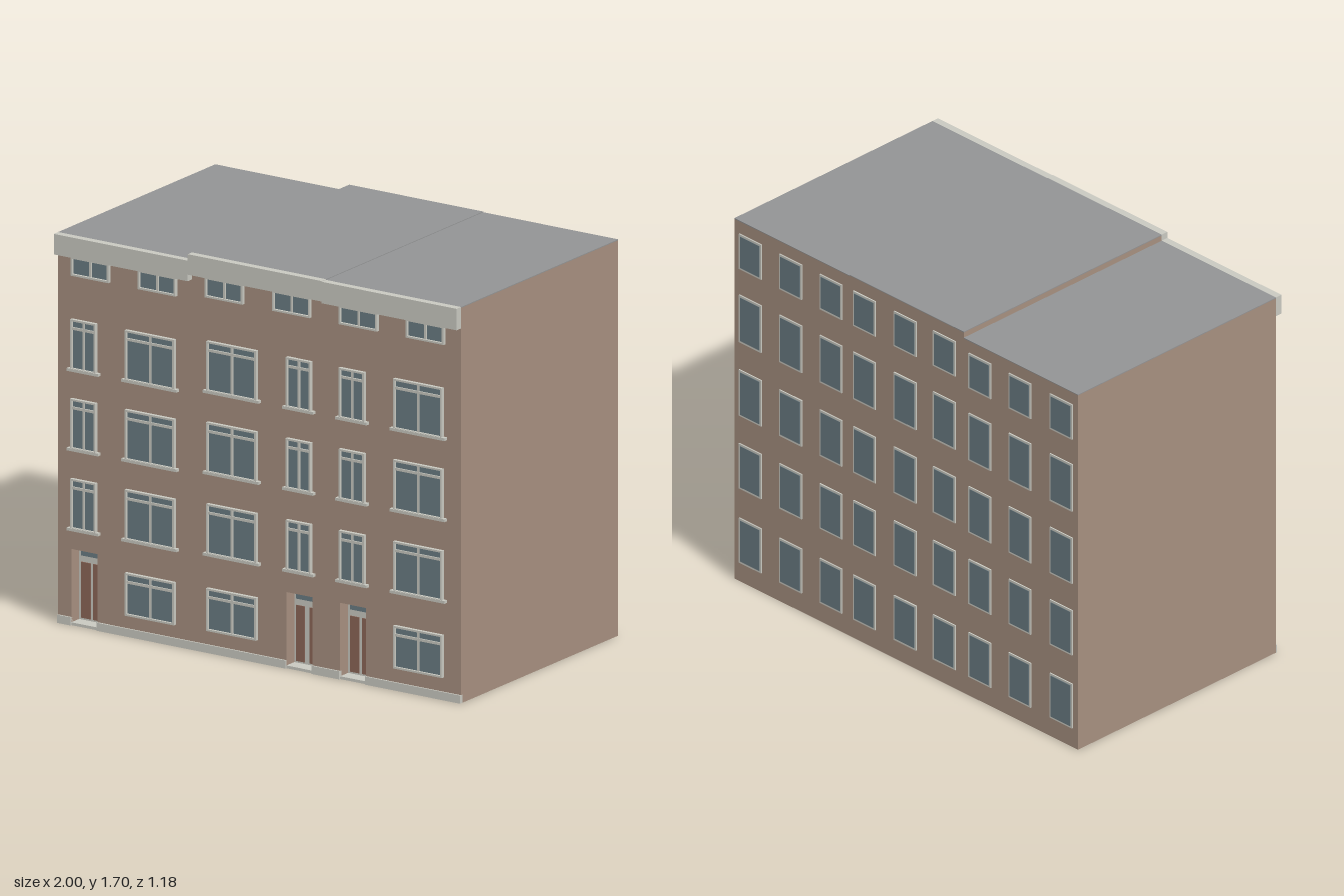
import * as THREE from 'three';

const mat = (name, color) => {
  const m = new THREE.MeshStandardMaterial({ color });
  m.name = name;
  return m;
};

export function createModel() {
  const brick = mat('brick', 0xa68f7f);
  const trim = mat('stone trim', 0xc8c8c0);
  const glass = mat('window glass', 0x6a7b82);
  const wood = mat('door wood', 0x8a6556);
  const roofGrey = mat('roof grey', 0x929394);

  const FRONT = 0.56, BACK = -0.583, RECESS = 0.49;
  const root = new THREE.Group();
  root.name = 'terraceOfHouses';

  // Box given by its two corners
  function box(parent, name, m, x0, x1, y0, y1, z0, z1) {
    const mesh = new THREE.Mesh(new THREE.BoxGeometry(x1 - x0, y1 - y0, z1 - z0), m);
    mesh.position.set((x0 + x1) / 2, (y0 + y1) / 2, (z0 + z1) / 2);
    mesh.name = name;
    parent.add(mesh);
  }

  // Front window: raised frame, glass set back, mullion and optional transom and sill
  function frontWindow(parent, x0, x1, y0, y1, transom, sill) {
    const g = new THREE.Group();
    g.name = 'frontWindow';
    parent.add(g);
    const f = 0.008, z = 0.576, cx = (x0 + x1) / 2;
    box(g, 'pane', glass, x0 + f, x1 - f, y0 + f, y1 - f, FRONT - 0.01, FRONT + 0.006);
    box(g, 'frameSide', trim, x0, x0 + f, y0, y1, FRONT - 0.01, z);
    box(g, 'frameSide', trim, x1 - f, x1, y0, y1, FRONT - 0.01, z);
    box(g, 'frameTop', trim, x0 + f, x1 - f, y1 - f, y1, FRONT - 0.01, z);
    box(g, 'frameBottom', trim, x0 + f, x1 - f, y0, y0 + f, FRONT - 0.01, z);
    box(g, 'mullion', trim, cx - 0.005, cx + 0.005, y0 + f, y1 - f, FRONT, z - 0.005);
    if (transom) box(g, 'transom', trim, x0 + f, x1 - f, y1 - 0.045, y1 - 0.034, FRONT, z - 0.004);
    if (sill) box(g, 'sill', trim, x0 - 0.015, x1 + 0.015, y0 - 0.006, y0 + 0.006, FRONT - 0.01, 0.579);
  }

  // Recessed double door with fanlight and threshold
  function door(parent, x0, x1, post) {
    const g = new THREE.Group();
    g.name = 'frontDoor';
    parent.add(g);
    const cx = (x0 + x1) / 2, z = RECESS + 0.012;
    box(g, 'doorFrame', trim, x0, x1, 0.004, 0.325, RECESS - 0.01, z);
    box(g, 'fanlight', glass, x0 + 0.01, x1 - 0.01, 0.287, 0.318, z, z + 0.003);
    box(g, 'doorLeaf', wood, x0 + 0.012, cx - post / 2, 0.02, 0.26, z, z + 0.004);
    box(g, 'doorLeaf', wood, cx + post / 2, x1 - 0.012, 0.02, 0.26, z, z + 0.004);
    box(g, 'threshold', trim, x0, x1, 0, 0.012, z, FRONT);
  }

  // Back window: pale frame plate with glass on its face
  function backWindow(parent, cx, y0, y1) {
    const g = new THREE.Group();
    g.name = 'backWindow';
    parent.add(g);
    const w = 0.065, f = 0.009;
    box(g, 'frame', trim, cx - w, cx + w, y0, y1, BACK - 0.006, BACK + 0.01);
    box(g, 'pane', glass, cx - w + f, cx + w - f, y0 + f, y1 - f, BACK - 0.008, BACK);
  }

  const houses = [
    { x0: -1, x1: -0.335, top: 1.675, cornice: 1.587, drop: 0.023, door: [-0.935, -0.805], post: 0.014,
      narrow: [-0.93, -0.805], wide: [-0.66, -0.415], attic: [[-0.928, -0.74], [-0.595, -0.408]],
      back: [-0.905, -0.665, -0.432] },
    { x0: -0.335, x1: 0.33, top: 1.703, cornice: 1.615, drop: 0, door: [0.133, 0.263], post: 0.025,
      narrow: [0.14, 0.262], wide: [-0.255, -0.008], attic: [[-0.262, -0.075], [0.073, 0.258]],
      back: [-0.225, 0.003, 0.24] },
    { x0: 0.33, x1: 1, top: 1.7, cornice: 1.608, drop: 0, door: [0.4, 0.528], post: 0.014,
      narrow: [0.403, 0.528], wide: [0.672, 0.915], attic: [[0.403, 0.592], [0.735, 0.923]],
      back: [0.435, 0.67, 0.905] },
  ];

  houses.forEach((h) => {
    const g = new THREE.Group();
    g.name = 'house';
    root.add(g);
    const [d0, d1] = h.door, wallTop = h.top - 0.004;

    // Main block, and a front layer with an opening for the door
    box(g, 'mainWalls', brick, h.x0, h.x1, 0, wallTop, BACK, RECESS);
    const s = new THREE.Shape();
    [[h.x0, 0], [d0, 0], [d0, 0.327], [d1, 0.327], [d1, 0], [h.x1, 0], [h.x1, wallTop], [h.x0, wallTop]]
      .forEach(([x, y], i) => (i ? s.lineTo(x, y) : s.moveTo(x, y)));
    const facade = new THREE.Mesh(
      new THREE.ExtrudeGeometry(s, { depth: FRONT - RECESS, bevelEnabled: false }), brick);
    facade.position.z = RECESS;
    facade.name = 'frontWall';
    g.add(facade);

    // Roof, cornice and plinth
    box(g, 'roof', roofGrey, h.x0, h.x1, wallTop, h.top, BACK, FRONT);
    box(g, 'cornice', trim, h.x0, h.x1, h.cornice, h.top, FRONT, 0.592);
    box(g, 'plinth', trim, h.x0, d0, 0, 0.035, FRONT - 0.01, 0.567);
    box(g, 'plinth', trim, d1, h.x1, 0, 0.035, FRONT - 0.01, 0.567);

    // Front openings
    door(g, d0, d1, h.post);
    frontWindow(g, ...h.wide, 0.097 - h.drop * 0.2, 0.28 - h.drop * 0.2, true, false);
    [0.425, 0.775, 1.123].forEach((y, i) => {
      const y0 = y - h.drop * (0.4 + 0.3 * i);
      frontWindow(g, ...h.narrow, y0, y0 + 0.217, true, true);
      frontWindow(g, ...h.wide, y0, y0 + 0.217, true, true);
    });
    h.attic.forEach(([a, b]) => frontWindow(g, a, b, 1.53 - h.drop - 0.003, h.cornice - 0.001, false, false));

    // Back windows, five floors
    const rows = [[0.09, 0.3], [0.44, 0.652], [0.783, 1.0], [1.13, 1.352], [1.475, 1.64]];
    h.back.forEach((cx) => rows.forEach(([y0, y1], i) => {
      const dy = h.drop * 0.25 * i;
      backWindow(g, cx, y0 - dy, y1 - dy);
    }));
  });
  return root;
}
